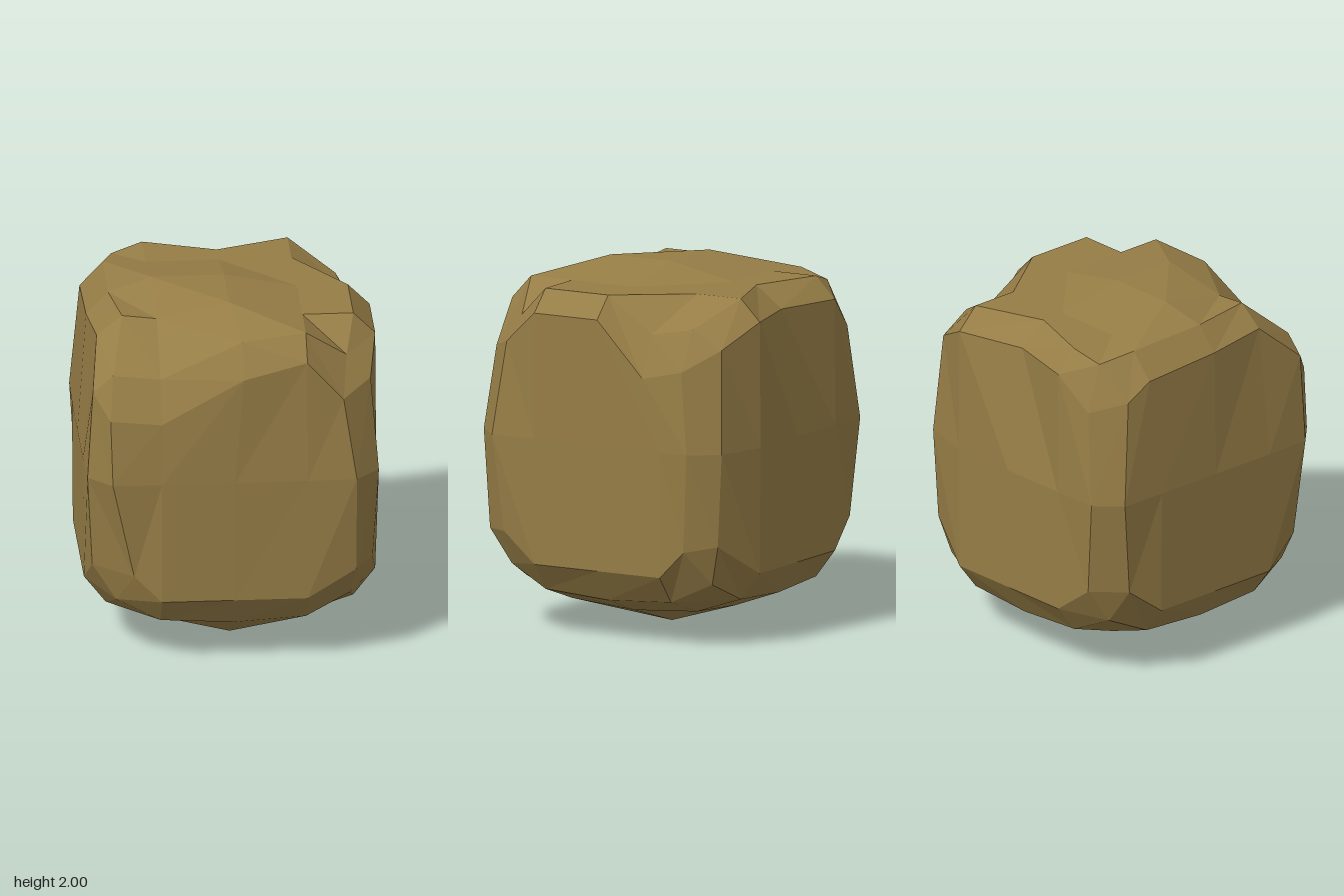
import * as THREE from 'three';

// Boulder: a chamfered block on a lattice. One index at +-3 marks the face, the
// others run -2..2 across it; index +-2 is the face border next to a chamfer.
const ACROSS = [-2, -1, 0, 1, 2];
const UP = [-2, 0, 2];

// Weathered spots that leave the regular block: 'i,j,k' -> position
const WORN = {
  // sagging front brow
  '-2,2,3': [-0.68, 1.47, 0.77], '-1,2,3': [-0.4, 1.45, 0.79], '0,2,3': [0.05, 1.71, 0.81],
  '1,2,3': [0.4, 1.79, 0.78], '2,2,3': [0.6, 1.56, 0.76], '0,0,3': [0, 1.1, 0.81],
  '-2,3,2': [-0.66, 1.7, 0.67], '-1,3,2': [-0.4, 1.68, 0.69], '0,3,2': [0.05, 1.89, 0.7],
  '1,3,2': [0.4, 1.92, 0.66], '2,3,2': [0.63, 1.75, 0.58], '-3,2,2': [-0.77, 1.6, 0.66],
  // raised crown
  '0,3,1': [0, 2, 0.39], '-1,3,0': [-0.4, 2, 0], '0,3,0': [0, 2, 0],
  '-2,3,1': [-0.59, 1.94, 0.39], '-2,3,0': [-0.64, 1.93, 0.03], '-2,3,-1': [-0.63, 1.91, -0.45],
  // leaning right flank
  '-3,2,1': [-0.73, 1.83, 0.39], '-3,2,0': [-0.76, 1.8, 0.03], '-3,2,-1': [-0.76, 1.77, -0.45],
  '-3,2,-2': [-0.75, 1.68, -0.6], '-2,3,-2': [-0.57, 1.87, -0.65],
  // dent in the back
  '0,3,-2': [0, 1.92, -0.54], '0,2,-3': [0, 1.8, -0.7],
  // chipped back left corner
  '3,2,-1': [0.8, 1.5, -0.29], '2,3,-1': [0.7, 1.73, -0.29], '3,2,-2': [0.77, 1.55, -0.52],
  '2,3,-2': [0.65, 1.77, -0.52], '2,2,-3': [0.64, 1.67, -0.7], '3,0,-2': [0.8, 1.1, -0.57],
  '2,0,-3': [0.69, 1.1, -0.73], '3,-2,-2': [0.78, 0.55, -0.54], '2,-2,-3': [0.68, 0.58, -0.7],
  // lower front corners and belly
  '-2,-2,3': [-0.55, 0.54, 0.76], '2,-2,3': [0.67, 0.55, 0.76], '0,-3,1': [0, 0.05, 0.4],
};

// Position of a lattice point on the regular block
function place(p) {
  const worn = WORN[p.join()];
  if (worn) return new THREE.Vector3(...worn);
  const [i, j, k] = p;
  const step = (n, edge) => Math.sign(n) * [0, 0.4, edge][Math.abs(n)];
  if (Math.abs(j) === 3) {
    const corner = Math.abs(i) === 2 && Math.abs(k) === 2;
    const reach = Math.max(Math.abs(i), Math.abs(k));
    const least = Math.min(Math.abs(i), Math.abs(k));
    const edge = corner ? 0.64 : 0.68;
    const y = j > 0 ? (corner ? 1.77 : 1.92)
      : [[0], [0.12, 0.15], [0.22, 0.245, 0.36]][reach][least];
    return new THREE.Vector3(step(i, edge), y, step(k, edge));
  }
  const across = Math.abs(i) === 3 ? k : i;
  const corner = Math.abs(across) === 2;
  const row = j / 2 + 1;
  const y = (corner ? [0.56, 1.1, 1.62] : [0.4, 1.1, 1.8])[row];
  const out = (corner ? [0.77, 0.8, 0.76] : [0.8, 0.805, 0.8])[row];
  const side = step(across, [0.61, 0.67, 0.6][row]);
  return Math.abs(i) === 3
    ? new THREE.Vector3(Math.sign(i) * out, y, side)
    : new THREE.Vector3(side, y, Math.sign(k) * out);
}

function buildRock() {
  const positions = [];
  const middle = new THREE.Vector3(0, 1.05, 0);

  // Adds a polygon as a fan of triangles, each facing outward
  function addPolygon(...keys) {
    const v = keys.map(place);
    for (let n = 1; n < v.length - 1; n++) {
      let [a, b, c] = [v[0], v[n], v[n + 1]];
      const normal = b.clone().sub(a).cross(c.clone().sub(a));
      const outward = a.clone().add(b).add(c).divideScalar(3).sub(middle);
      if (normal.dot(outward) < 0) [b, c] = [c, b];
      for (const q of [a, b, c]) positions.push(q.x, q.y, q.z);
    }
  }

  const key = (axes, values) => {
    const p = [0, 0, 0];
    axes.forEach((axis, n) => { p[axis] = values[n]; });
    return p;
  };

  for (const axes of [[0, 1, 2], [1, 2, 0], [2, 0, 1]]) {
    const [, u, v] = axes;
    const us = u === 1 ? UP : ACROSS;
    const vs = v === 1 ? UP : ACROSS;
    for (const s of [-1, 1]) {
      // broad faces
      for (let m = 0; m < us.length - 1; m++) {
        for (let n = 0; n < vs.length - 1; n++) {
          addPolygon(key(axes, [3 * s, us[m], vs[n]]), key(axes, [3 * s, us[m + 1], vs[n]]),
            key(axes, [3 * s, us[m + 1], vs[n + 1]]), key(axes, [3 * s, us[m], vs[n + 1]]));
        }
      }
      // chamfers along the edges
      for (const t of [-1, 1]) {
        for (let n = 0; n < vs.length - 1; n++) {
          addPolygon(key(axes, [3 * s, 2 * t, vs[n]]), key(axes, [2 * s, 3 * t, vs[n]]),
            key(axes, [2 * s, 3 * t, vs[n + 1]]), key(axes, [3 * s, 2 * t, vs[n + 1]]));
        }
      }
    }
  }

  // corner facets
  for (const a of [-1, 1]) for (const b of [-1, 1]) for (const c of [-1, 1]) {
    addPolygon([3 * a, 2 * b, 2 * c], [2 * a, 3 * b, 2 * c], [2 * a, 2 * b, 3 * c]);
  }

  const geometry = new THREE.BufferGeometry();
  geometry.setAttribute('position', new THREE.Float32BufferAttribute(positions, 3));
  geometry.computeVertexNormals();
  return geometry;
}

export function createModel() {
  const stone = new THREE.MeshStandardMaterial({ color: 0x967d46, flatShading: true });
  stone.name = 'brownStone';
  const rock = new THREE.Mesh(buildRock(), stone);
  rock.name = 'boulder';
  const model = new THREE.Group();
  model.name = 'rock';
  model.add(rock);
  return model;
}
